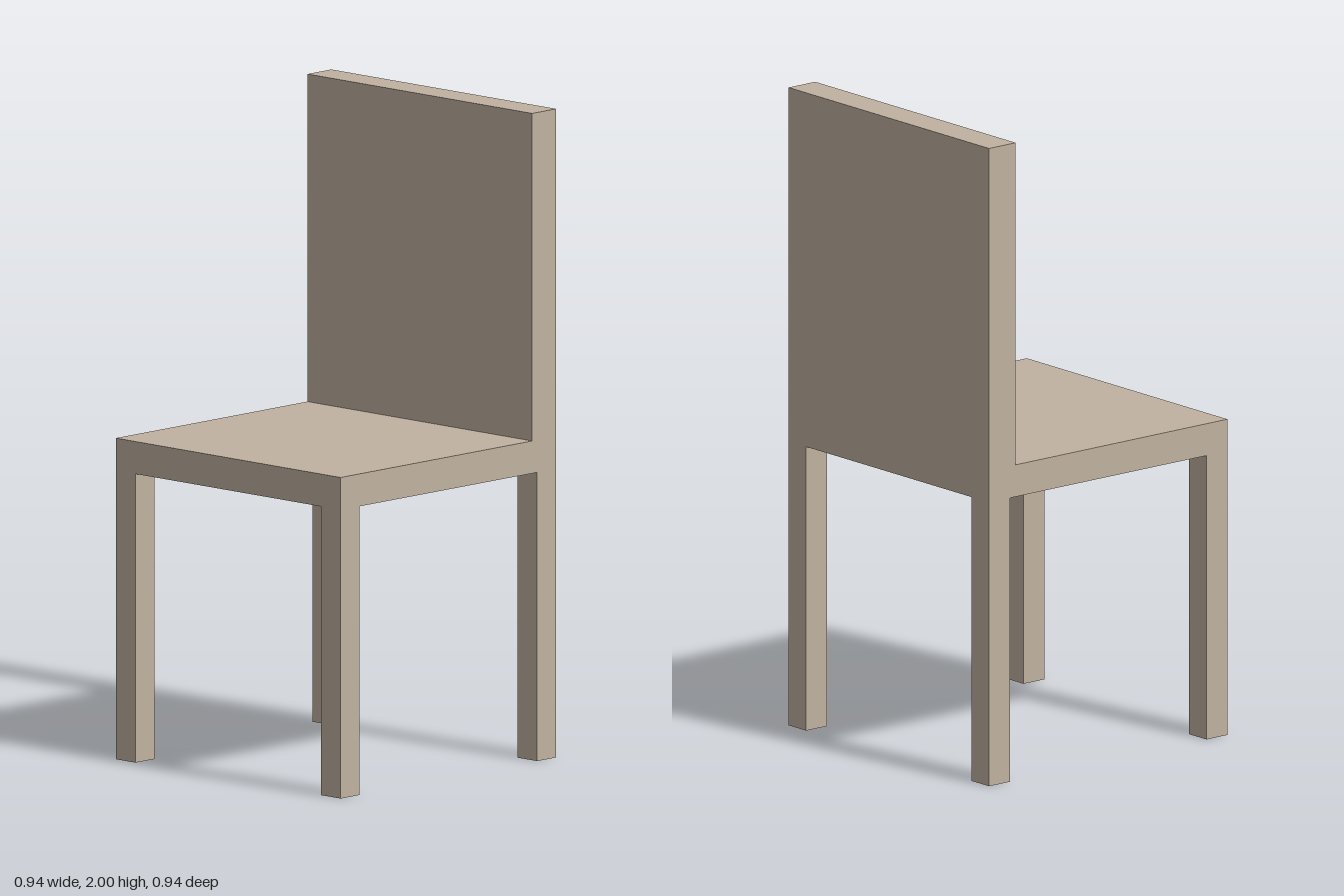
import * as THREE from 'three';

const HALF = 0.472;        // half of the seat's width and depth
const LEG = 0.083;         // leg thickness
const SEAT_BOTTOM = 0.89;
const SEAT_TOP = 0.99;
const BACK_DEPTH = 0.105;

export function createModel() {
  const chair = new THREE.Group();
  chair.name = 'chair';
  const wood = new THREE.MeshStandardMaterial({ color: 0xc0b2a0 });

  // Box standing on height y
  const addBox = (name, w, h, d, x, y, z) => {
    const mesh = new THREE.Mesh(new THREE.BoxGeometry(w, h, d), wood);
    mesh.name = name;
    mesh.position.set(x, y + h / 2, z);
    chair.add(mesh);
  };

  // Square seat slab
  addBox('seat', 2 * HALF, SEAT_TOP - SEAT_BOTTOM, 2 * HALF, 0, SEAT_BOTTOM, 0);

  // Solid backrest, flush with the rear edge of the seat
  addBox('backrest', 2 * HALF, 2 - SEAT_TOP, BACK_DEPTH, 0, SEAT_TOP, -HALF + BACK_DEPTH / 2);

  // Four square legs, flush with the seat corners
  const offset = HALF - LEG / 2;
  for (const [end, sz] of [['front', 1], ['back', -1]]) {
    for (const [side, sx] of [['Left', 1], ['Right', -1]]) {
      addBox(`${end}${side}Leg`, LEG, SEAT_BOTTOM, LEG, sx * offset, 0, sz * offset);
    }
  }
  return chair;
}
